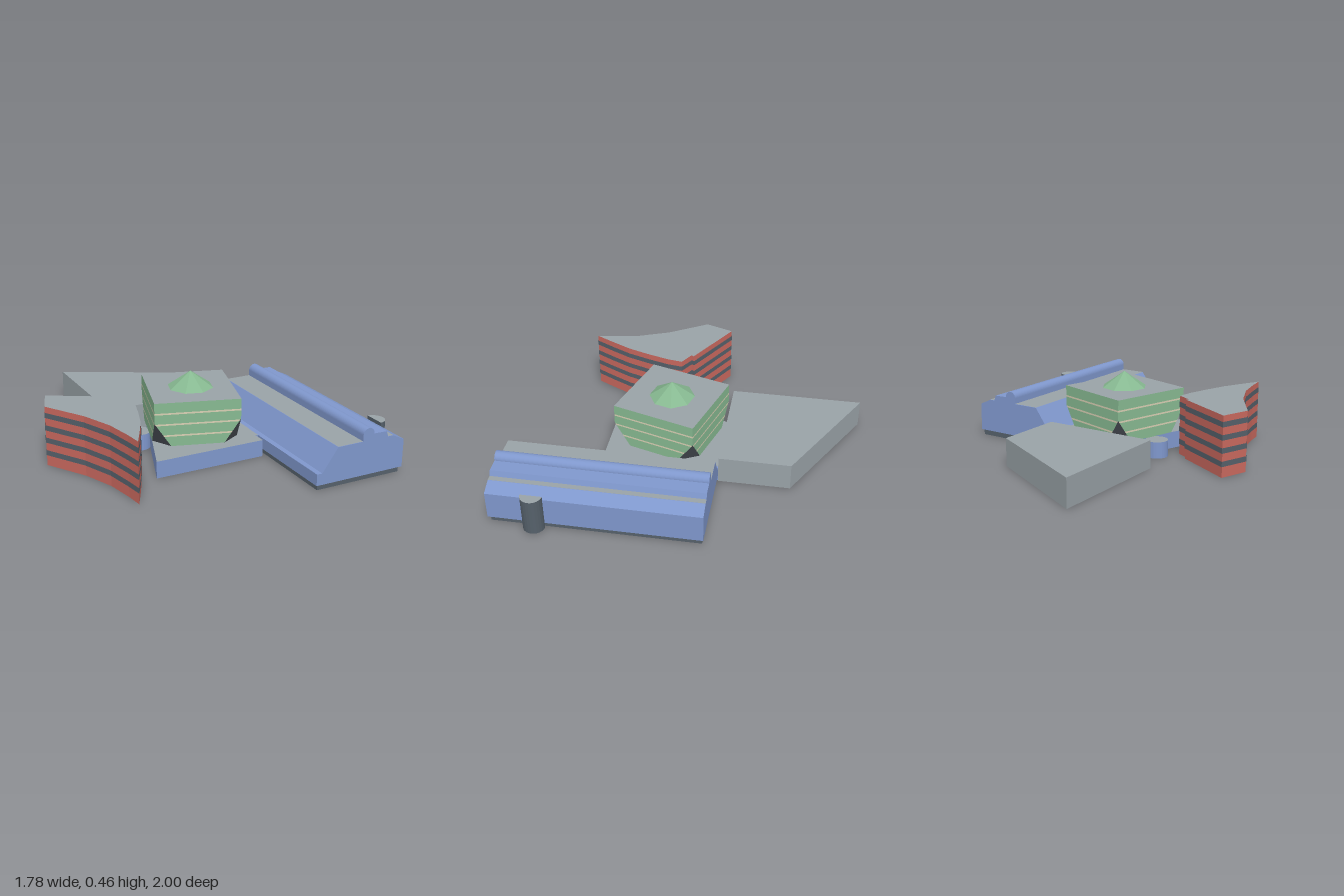
import * as THREE from 'three';

const paint = (color) => new THREE.MeshStandardMaterial({ color, flatShading: true, side: THREE.DoubleSide });
const roofGrey = paint(0x99a2a7), slate = paint(0x55606a), dark = paint(0x4a4f56);
const blue = paint(0x7f97cc), green = paint(0x87b991), cream = paint(0xd8d0b4), red = paint(0xc8685e);

// Walls between two plan rings of [x, z] points at heights y0 and y1; keep(i) selects edges
function walls(r0, y0, r1, y1, keep = () => true) {
  const p = [];
  r0.forEach((a, i) => {
    if (!keep(i)) return;
    const j = (i + 1) % r0.length;
    const a0 = [a[0], y0, a[1]], b0 = [r0[j][0], y0, r0[j][1]];
    const a1 = [r1[i][0], y1, r1[i][1]], b1 = [r1[j][0], y1, r1[j][1]];
    p.push(...a0, ...a1, ...b1, ...a0, ...b1, ...b0);
  });
  const g = new THREE.BufferGeometry();
  g.setAttribute('position', new THREE.Float32BufferAttribute(p, 3));
  g.computeVertexNormals();
  return g;
}

// Flat roof over a plan ring
function cap(ring, y) {
  const shape = new THREE.Shape(ring.map(([x, z]) => new THREE.Vector2(x, -z)));
  return new THREE.ShapeGeometry(shape).rotateX(-Math.PI / 2).translate(0, y, 0);
}

function add(parent, name, geometry, material) {
  const mesh = new THREE.Mesh(geometry, material);
  mesh.name = name;
  parent.add(mesh);
  return mesh;
}

function group(parent, name) {
  const g = new THREE.Group();
  g.name = name;
  parent.add(g);
  return g;
}

// Open-bottomed block: walls and roof
function block(parent, name, ring, height, wallMat) {
  const g = group(parent, name);
  add(g, name + 'Walls', walls(ring, 0, ring, height), wallMat);
  add(g, name + 'Roof', cap(ring, height), roofGrey);
  return g;
}

// Round (or partly round) tower
function tower(parent, name, x, z, r, height, wallMat, half) {
  const n = half ? 12 : 24, ring = [];
  const count = half ? n + 1 : n;
  for (let i = 0; i < count; i++) {
    const a = half ? -Math.PI / 2 + Math.PI * i / n : 2 * Math.PI * i / n;
    ring.push([x + r * Math.cos(a), z + r * Math.sin(a)]);
  }
  block(parent, name, ring, height, wallMat);
}

export function createModel() {
  const model = new THREE.Group();
  model.name = 'buildingComplex';

  // Low rear block and the podium
  block(model, 'rearBlock', [[-0.42, -1], [0.275, -0.63], [0.275, -0.21], [-0.42, -0.21]], 0.165, roofGrey);
  block(model, 'podium',
    [[-0.17, -0.21], [0.268, -0.21], [0.268, 0.39], [0.25, 0.39], [0.25, 0.47], [-0.42, 0.47]], 0.1, blue);

  // Towers
  tower(model, 'podiumTower', -0.322, 0.02, 0.066, 0.098, blue, false);
  tower(model, 'hallTower', 0.826, 0.735, 0.062, 0.22, slate, true);

  // Main building: square on top, corners cut away towards the bottom
  const main = group(model, 'mainBuilding');
  const corners = [[-0.2, -0.205], [0.273, -0.06], [0.128, 0.43], [-0.345, 0.285]];
  const section = (y) => {
    const t = 0.19 * Math.max(0, (0.24 - y) / 0.14);
    return corners.flatMap((a, i) => {
      const b = corners[(i + 1) % 4];
      const mix = (k) => [a[0] + (b[0] - a[0]) * k, a[1] + (b[1] - a[1]) * k];
      return [mix(t), mix(1 - t)];
    });
  };
  const levels = [0.1, 0.158, 0.168, 0.225, 0.235, 0.24, 0.29, 0.3, 0.36];
  const cornerY = 0.24;
  for (let i = 0; i < levels.length - 1; i++) {
    const [y0, y1] = [levels[i], levels[i + 1]];
    const stripe = y1 - y0 > 0.009 && y1 - y0 < 0.011;
    add(main, stripe ? 'lightStripe' : 'mainWall',
      walls(section(y0), y0, section(y1), y1, (e) => e % 2 === 0), stripe ? cream : green);
  }
  add(main, 'cutCorners', walls(section(0.1), 0.1, section(cornerY), cornerY, (e) => e % 2 === 1), dark);
  add(main, 'mainRoof', cap(corners, 0.36), roofGrey);
  const cone = add(main, 'roofCone', new THREE.ConeGeometry(0.135, 0.095, 8, 1, true), green);
  cone.position.set(-0.033, 0.4075, 0.113);
  cone.rotation.y = 0.11;

  // Curved side building with dark bands
  const ring = [[-0.832, -0.138], [-0.49, 0.058], [-0.498, 0.074], [-0.415, 0.122], [-0.43, 0.215],
    [-0.468, 0.345], [-0.515, 0.48], [-0.575, 0.6], [-0.633, 0.71], [-0.645, 0.61], [-0.677, 0.445],
    [-0.75, 0.262], [-0.893, 0.03]];
  const side = block(model, 'sideBuilding', ring, 0.352, red);
  const outer = ring.map(([x, z], i) => {
    const a = ring.at(i - 1), b = ring[(i + 1) % ring.length];
    const dx = b[0] - a[0], dz = b[1] - a[1], len = Math.hypot(dx, dz);
    return [x + 0.003 * dz / len, z - 0.003 * dx / len];
  });
  for (const y of [0.062, 0.138, 0.212, 0.286]) {
    add(side, 'darkBand', walls(outer, y, outer, y + 0.031), slate);
  }

  // Long hall: one roof profile run along z, on a recessed plinth
  const hall = group(model, 'longHall');
  const profile = new THREE.Shape();
  profile.moveTo(0.265, 0.033);
  profile.lineTo(0.827, 0.033);
  for (const [x, y] of [[0.827, 0.198], [0.752, 0.233], [0.718, 0.233], [0.706, 0.266], [0.624, 0.268]]) {
    profile.lineTo(x, y);
  }
  profile.absarc(0.588, 0.27, 0.036, 0, Math.PI, false);
  for (const [x, y] of [[0.552, 0.233], [0.392, 0.233], [0.298, 0.1], [0.265, 0.1]]) profile.lineTo(x, y);
  add(hall, 'hallBody', new THREE.ExtrudeGeometry(profile,
    { depth: 1.208, bevelEnabled: false, curveSegments: 10 }).translate(0, 0, -0.208), blue);
  for (const [x0, x1] of [[0.392, 0.552], [0.718, 0.752]]) {
    add(hall, 'roofStrip', cap([[x0, -0.208], [x1, -0.208], [x1, 1], [x0, 1]], 0.235), roofGrey);
  }
  add(hall, 'hallPlinth', new THREE.BoxGeometry(0.535, 0.034, 1.185).translate(0.546, 0.017, 0.393), slate);

  return model;
}
